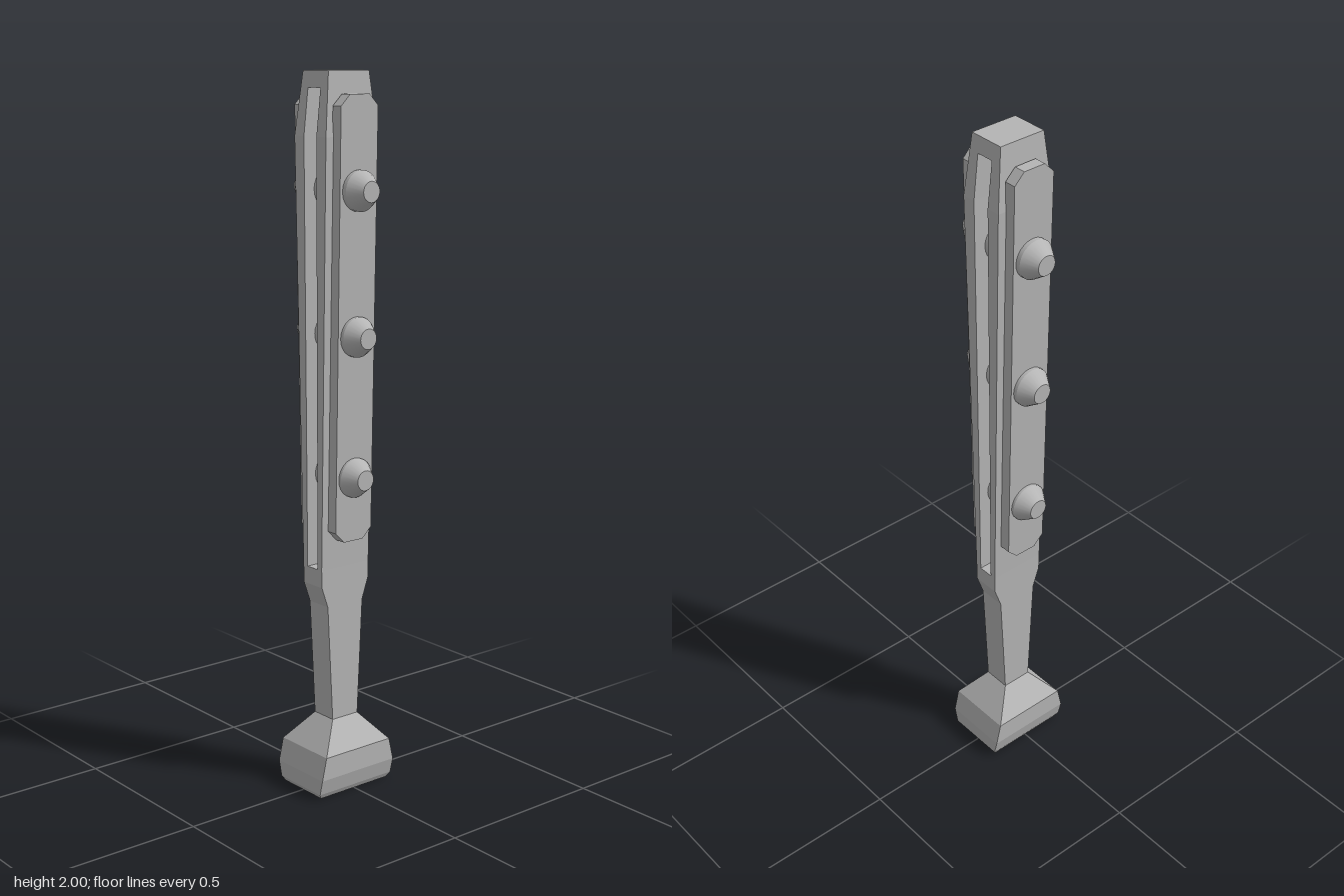
import * as THREE from 'three';

const steel = new THREE.MeshStandardMaterial({ color: 0xb4b4b4 });
steel.name = 'steel grey';

// Solid through rectangular sections [y, halfWidthX, zBack, zFront], bottom to top
function loft(sections) {
  const pos = [];
  const quad = (a, b, c, d) => [a, b, c, a, c, d].forEach((p) => pos.push(...p));
  const rings = sections.map(([y, hx, z0, z1]) => [[-hx, y, z1], [hx, y, z1], [hx, y, z0], [-hx, y, z0]]);
  for (let i = 0; i < rings.length - 1; i++) {
    for (let k = 0; k < 4; k++) {
      const n = (k + 1) % 4;
      quad(rings[i][k], rings[i][n], rings[i + 1][n], rings[i + 1][k]);
    }
  }
  const [b0, b1, b2, b3] = rings[0];
  quad(b3, b2, b1, b0);
  quad(...rings[rings.length - 1]);
  const g = new THREE.BufferGeometry();
  g.setAttribute('position', new THREE.Float32BufferAttribute(pos, 3));
  g.computeVertexNormals();
  return g;
}

function add(parent, name, geometry) {
  const mesh = new THREE.Mesh(geometry, steel);
  mesh.name = name;
  parent.add(mesh);
  return mesh;
}

// Grip plate: chamfered strip sheared to lie along the sloping prong
function plateGeometry() {
  const w = 0.063, c = 0.03, y0 = 0.73, y1 = 1.94;
  const outline = [[-w + c, y0], [w - c, y0], [w, y0 + c], [w, y1 - c], [w - c, y1], [-w + c, y1], [-w, y1 - c], [-w, y0 + c]];
  const shape = new THREE.Shape(outline.map(([x, y]) => new THREE.Vector2(x, y)));
  const g = new THREE.ExtrudeGeometry(shape, { depth: 0.034, bevelEnabled: false });
  const p = g.attributes.position;
  for (let i = 0; i < p.count; i++) {
    p.setZ(i, p.getZ(i) + 0.041 + (p.getY(i) - y0) * 0.019);
  }
  g.computeVertexNormals();
  return g;
}

// Rivet: shaft with a tapered head at each end
function rivet(y, reach) {
  const group = new THREE.Group();
  group.name = 'rivet';
  const head = 0.04, shoulder = reach - head;
  add(group, 'rivetShaft', new THREE.CylinderGeometry(0.055, 0.055, shoulder * 2, 24)).rotation.x = Math.PI / 2;
  for (const s of [1, -1]) {
    const tip = add(group, 'rivetHead', new THREE.CylinderGeometry(0.028, 0.055, head, 24));
    tip.rotation.x = s * Math.PI / 2;
    tip.position.z = s * (shoulder + head / 2);
  }
  group.position.y = y;
  return group;
}

export function createModel() {
  const model = new THREE.Group();
  model.name = 'slottedHandle';

  // Flared foot
  const foot = [[0, 0.12, 0.08], [0.015, 0.13, 0.088], [0.06, 0.13, 0.099], [0.125, 0.115, 0.099], [0.205, 0.045, 0.04]];
  add(model, 'foot', loft(foot.map(([y, x, z]) => [y, x, -z, z])));

  // Neck widening into the body
  const neck = [[0.205, 0.045, 0.04], [0.54, 0.062, 0.04], [0.6, 0.083, 0.04], [0.65, 0.084, 0.04]];
  add(model, 'neck', loft(neck.map(([y, x, z]) => [y, x, -z, z])));

  // Two prongs leave a slot open from side to side
  const prong = [[0.65, 0.084, 0.022, 0.04], [1.83, 0.088, 0.026, 0.066], [1.955, 0.074, 0.026, 0.0565]];
  const plate = plateGeometry();
  add(model, 'frontProng', loft(prong));
  add(model, 'backProng', loft(prong.map(([y, x, a, b]) => [y, x, -b, -a])));
  add(model, 'frontPlate', plate);
  add(model, 'backPlate', plate).rotation.y = Math.PI;

  // Cap joining the prongs
  add(model, 'topCap', loft([[1.955, 0.074, -0.0565, 0.0565], [2, 0.069, -0.053, 0.053]]));

  for (const [y, reach] of [[1.69, 0.147], [1.3, 0.137], [0.91, 0.127]]) model.add(rivet(y, reach));
  return model;
}
